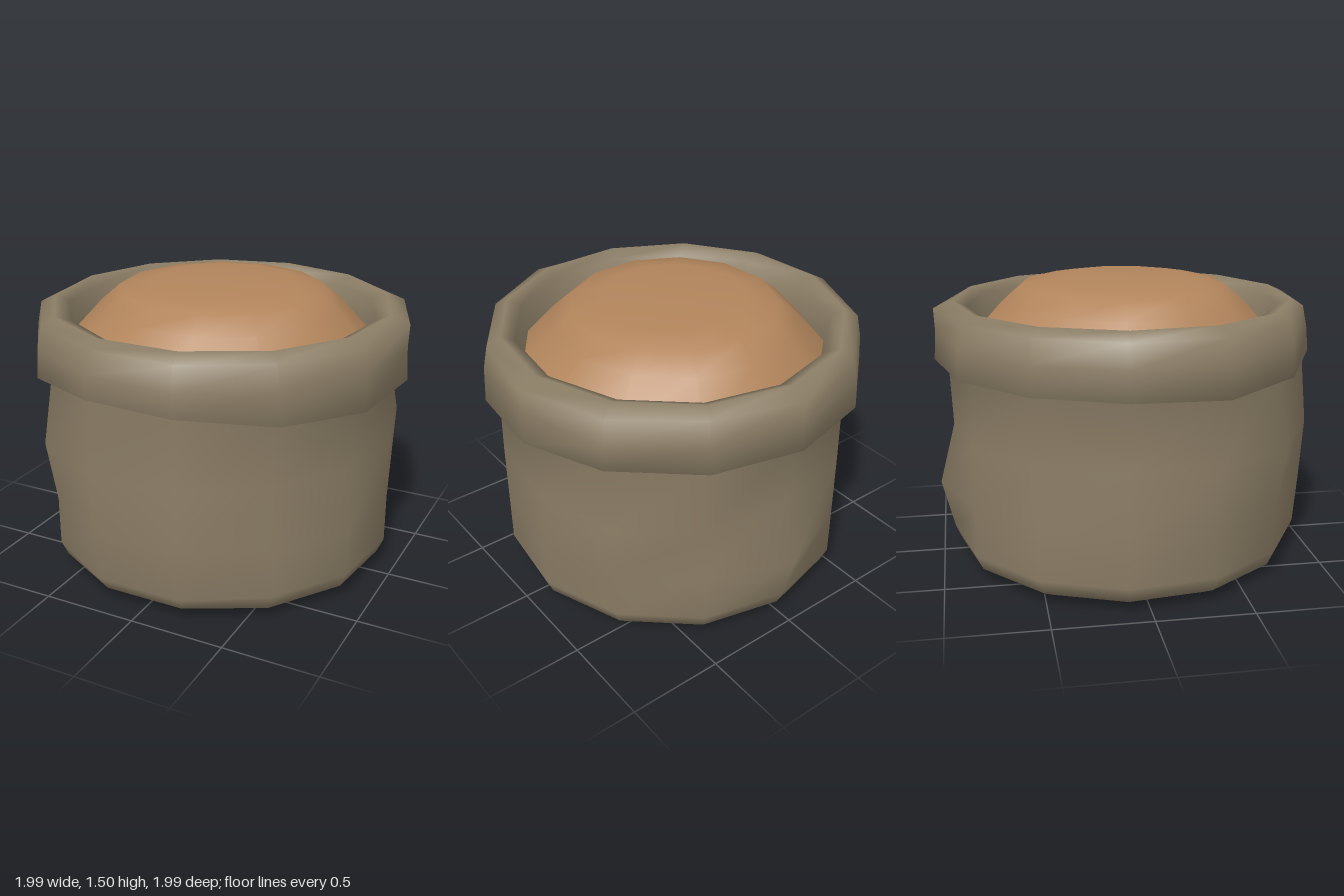
import * as THREE from 'three';

const SIDES = 13;

// Closed-up skin over horizontal rings; each ring is { r, y, dr, dy }, where
// dr and dy hold small per-corner offsets keyed by corner index (0 = back).
function skinRings(rings, bottomY = null, topY = null) {
  const pos = [], idx = [];
  for (const { r, y, dr = {}, dy = {} } of rings) {
    for (let i = 0; i < SIDES; i++) {
      const a = (i / SIDES) * Math.PI * 2;
      const rad = r + (dr[i] || 0);
      pos.push(Math.sin(a) * rad, y + (dy[i] || 0), -Math.cos(a) * rad);
    }
  }
  for (let k = 0; k < rings.length - 1; k++) {
    for (let i = 0; i < SIDES; i++) {
      const j = (i + 1) % SIDES;
      const a = k * SIDES + i, b = k * SIDES + j;
      const c = a + SIDES, d = b + SIDES;
      idx.push(a, c, b, b, c, d);
    }
  }
  // fan caps
  const cap = (y, start, up) => {
    const centre = pos.length / 3;
    pos.push(0, y, 0);
    for (let i = 0; i < SIDES; i++) {
      const a = start + i, b = start + (i + 1) % SIDES;
      if (up) idx.push(centre, b, a);
      else idx.push(centre, a, b);
    }
  };
  if (bottomY !== null) cap(bottomY, 0, false);
  if (topY !== null) cap(topY, (rings.length - 1) * SIDES, true);

  const g = new THREE.BufferGeometry();
  g.setAttribute('position', new THREE.Float32BufferAttribute(pos, 3));
  g.setIndex(idx);
  g.computeVertexNormals();
  return g;
}

export function createModel() {
  const cloth = new THREE.MeshStandardMaterial({ color: 0x8d7f67, side: THREE.DoubleSide });
  cloth.name = 'sackcloth';
  const filling = new THREE.MeshStandardMaterial({ color: 0xb2855c });
  filling.name = 'filling';

  const rimWobble = { 2: 0.03, 6: 0.02, 7: -0.01, 9: 0.01, 10: 0.007 };
  const hem = { 2: 0.02, 3: -0.02, 4: -0.04, 5: -0.02, 6: 0.03, 7: 0.03, 9: -0.02 };

  // Sagging body that runs on into the rolled-over rim and its inside wall
  const sack = new THREE.Mesh(skinRings([
    { r: 0.81, y: 0.01 },
    { r: 0.9, y: 0.06 },
    { r: 0.935, y: 0.14, dr: { 6: 0.02, 7: 0.02 } },
    { r: 0.935, y: 0.4, dr: { 0: 0.065, 6: 0.04, 7: 0.04 } },
    { r: 0.935, y: 0.73, dr: { 0: -0.02, 1: 0.03, 2: 0.06, 6: 0.06, 7: 0.06, 8: 0.05, 9: 0.03 } },
    { r: 0.93, y: 1.08, dr: { 6: 0.03, 7: 0.03 }, dy: hem },
    { r: 1.0, y: 1.09, dr: rimWobble, dy: hem },
    { r: 0.99, y: 1.24, dr: rimWobble },
    { r: 0.965, y: 1.36, dr: { ...rimWobble, 0: 0.03, 3: 0.03 } },
    { r: 0.895, y: 1.4 },
    { r: 0.82, y: 1.365, dr: { 6: 0.02, 8: -0.02, 10: -0.01 } },
    { r: 0.79, y: 1.18 },
  ], 0.0), cloth);
  sack.name = 'sack';

  // Heaped contents
  const contents = new THREE.Mesh(skinRings([
    { r: 0.81, y: 1.2 },
    { r: 0.64, y: 1.385 },
    { r: 0.54, y: 1.47 },
    { r: 0.38, y: 1.5 },
  ], null, 1.505), filling);
  contents.name = 'contents';

  const model = new THREE.Group();
  model.name = 'openSack';
  model.add(sack, contents);
  return model;
}
